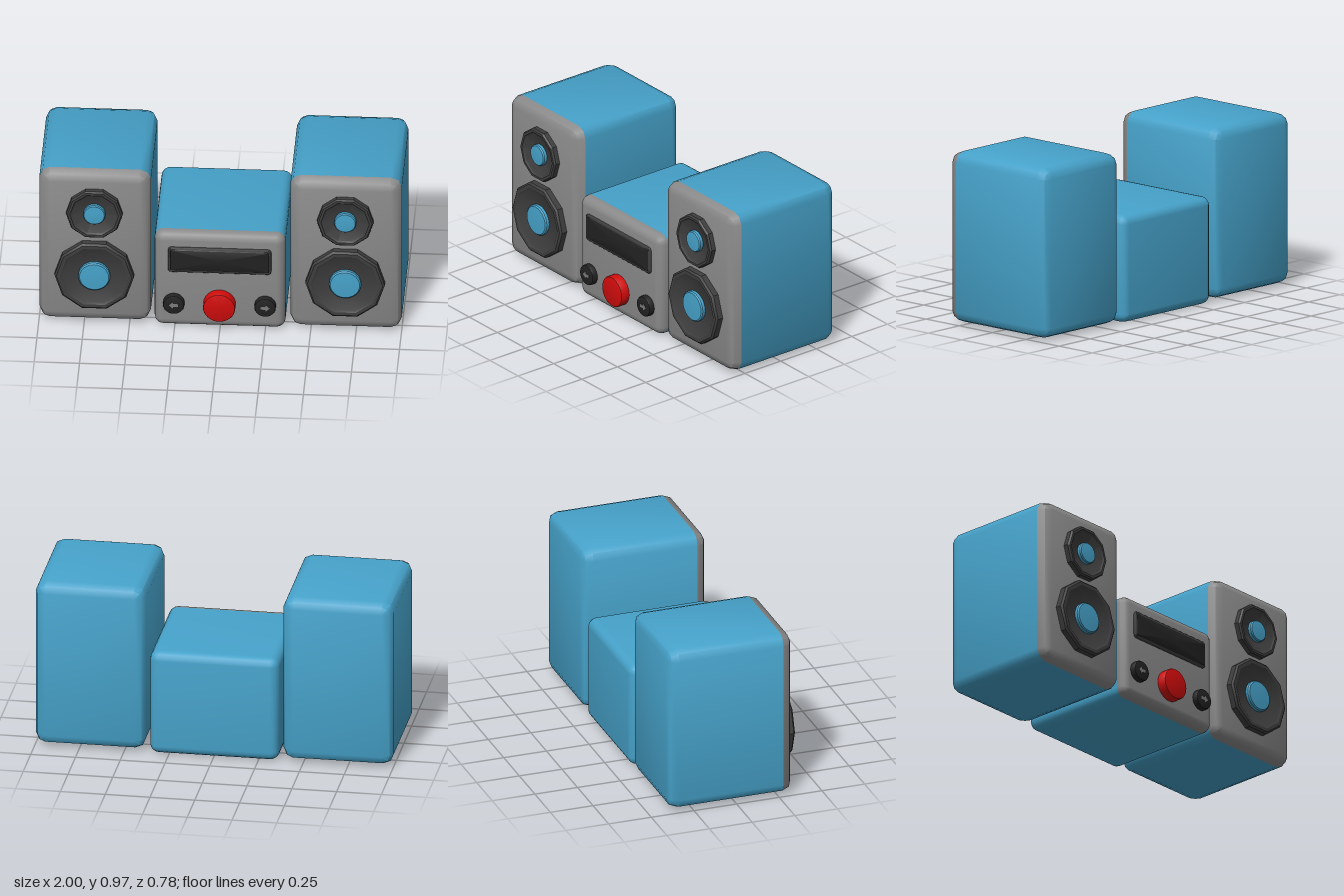
import * as THREE from 'three';
import { toCreasedNormals } from 'three/addons/utils/BufferGeometryUtils.js';

const mat = (name, color) => {
  const m = new THREE.MeshStandardMaterial({ color });
  m.name = name;
  return m;
};

export function createModel() {
  const blue = mat('cabinet blue', 0x46a2ca);
  const grey = mat('panel grey', 0x8a8a8a);
  const dark = mat('cone charcoal', 0x3e3e3e);
  const black = mat('display black', 0x222222);
  const red = mat('dial red', 0xd00c0c);
  const pale = mat('icon grey', 0x7c7c7c);

  const add = (parent, name, geometry, material, x = 0, y = 0, z = 0) => {
    const mesh = new THREE.Mesh(geometry, material);
    mesh.name = name;
    mesh.position.set(x, y, z);
    parent.add(mesh);
    return mesh;
  };

  // Rounded rectangle sections lofted along z; rings are [z, inset]
  const loft = (w, h, r, seg, rings, capBack, capFront) => {
    const pos = [], index = [], n = 4 * (seg + 1);
    for (const [z, inset] of rings) {
      const rad = Math.max(r - inset, 0.001);
      for (let c = 0; c < 4; c++) {
        const sx = c === 0 || c === 3 ? 1 : -1, sy = c < 2 ? 1 : -1;
        for (let k = 0; k <= seg; k++) {
          const a = (c + k / seg) * Math.PI / 2;
          pos.push(sx * (w / 2 - r) + rad * Math.cos(a), sy * (h / 2 - r) + rad * Math.sin(a), z);
        }
      }
    }
    for (let i = 0; i < rings.length - 1; i++) {
      for (let j = 0; j < n; j++) {
        const a = i * n + j, b = i * n + (j + 1) % n;
        index.push(a, b, b + n, a, b + n, a + n);
      }
    }
    const cap = (ring, front) => {
      const centre = pos.length / 3;
      pos.push(0, 0, rings[ring][0]);
      for (let j = 0; j < n; j++) {
        const a = ring * n + j, b = ring * n + (j + 1) % n;
        index.push(centre, front ? a : b, front ? b : a);
      }
    };
    if (capBack) cap(0, false);
    if (capFront) cap(rings.length - 1, true);
    const g = new THREE.BufferGeometry();
    g.setAttribute('position', new THREE.Float32BufferAttribute(pos, 3));
    g.setIndex(index);
    return toCreasedNormals(g, 0.8);
  };

  // Cabinet with a blue shell and a grey front, both with softened edges
  const cabinet = (parent, w, h, r, seg, back, split, front) => {
    const shell = [], panel = [[split, 0]];
    for (let k = 0; k <= seg; k++) {
      const a = k / seg * Math.PI / 2;
      shell.push([back + r * (1 - Math.cos(a)), r * (1 - Math.sin(a))]);
      panel.push([front - r * (1 - Math.sin(a)), r * (1 - Math.cos(a))]);
    }
    shell.push([split, 0]);
    add(parent, 'cabinetShell', loft(w, h, r, seg, shell, true, false), blue, 0, h / 2);
    add(parent, 'frontPanel', loft(w, h, r, seg, panel, false, true), grey, 0, h / 2);
  };

  // Turned part facing +z; profile points are [radius, z]
  const turned = (points, sides, crease) => {
    const g = new THREE.LatheGeometry(points.map(p => new THREE.Vector2(...p)), sides, Math.PI / 2);
    g.rotateX(Math.PI / 2);
    return toCreasedNormals(g, crease);
  };

  // Ten-sided driver with a sunken cone and domed centre cap
  const driver = (parent, name, y, R, capR, height) => {
    const g = new THREE.Group();
    g.name = name;
    g.position.set(0, y, 0.33);
    add(g, 'cone', turned([
      [R, 0], [R, height - 0.01], [R * 0.95, height], [R * 0.86, height],
      [R * 0.8, height - 0.008], [capR * 0.9, height - 0.025],
    ], 10, 0.5), dark);
    add(g, 'domeCap', turned([
      [capR, 0], [capR, height - 0.006], [capR * 0.92, height + 0.001],
      [capR * 0.5, height + 0.003], [0, height + 0.004],
    ], 24, 0.6), blue);
    parent.add(g);
  };

  const model = new THREE.Group();
  model.name = 'stereo';

  // Pair of speakers
  for (const side of [-1, 1]) {
    const s = new THREE.Group();
    s.name = side < 0 ? 'rightSpeaker' : 'leftSpeaker';
    s.position.set(side * 0.692, 0.012, 0);
    cabinet(s, 0.615, 0.961, 0.06, 2, -0.392, 0.275, 0.335);
    driver(s, 'tweeter', 0.714, 0.156, 0.061, 0.042);
    driver(s, 'woofer', 0.318, 0.219, 0.088, 0.048);
    model.add(s);
  }

  // Centre unit
  const unit = new THREE.Group();
  unit.name = 'centreUnit';
  unit.position.x = -0.002;
  cabinet(unit, 0.722, 0.605, 0.05, 4, -0.388, 0.285, 0.34);
  const slab = (w, h, r, d) => loft(w, h, r, 3, [[0, 0], [d - 0.004, 0], [d, 0.004]], false, true);
  add(unit, 'displayFrame', slab(0.57, 0.158, 0.018, 0.014), dark, 0, 0.441, 0.338);
  add(unit, 'displayScreen', slab(0.546, 0.134, 0.01, 0.005), black, 0, 0.441, 0.35);

  const knob = (R, d) => turned(
    [[R, 0], [R, d - 0.008], [R - 0.003, d - 0.002], [R - 0.009, d], [0, d]], 32, 0.7);
  add(unit, 'volumeDial', knob(0.089, 0.055), red, 0, 0.16, 0.338);

  // Side knobs, each with a small arrow and bar
  const arrow = new THREE.Shape([[0.027, 0], [0.004, 0.02], [0.004, 0.009], [-0.024, 0.009],
    [-0.024, -0.009], [0.004, -0.009], [0.004, -0.02]]
    .map(p => new THREE.Vector2(...p)).reverse());
  for (const side of [-1, 1]) {
    const x = side * 0.252, name = side < 0 ? 'right' : 'left';
    add(unit, name + 'Knob', knob(0.059, 0.035), black, x, 0.16, 0.338);
    const icon = add(unit, name + 'KnobIcon',
      new THREE.ExtrudeGeometry(arrow, { depth: 0.003, bevelEnabled: false }), pale, x, 0.16, 0.372);
    if (side < 0) icon.rotation.z = Math.PI;
  }
  model.add(unit);
  return model;
}
